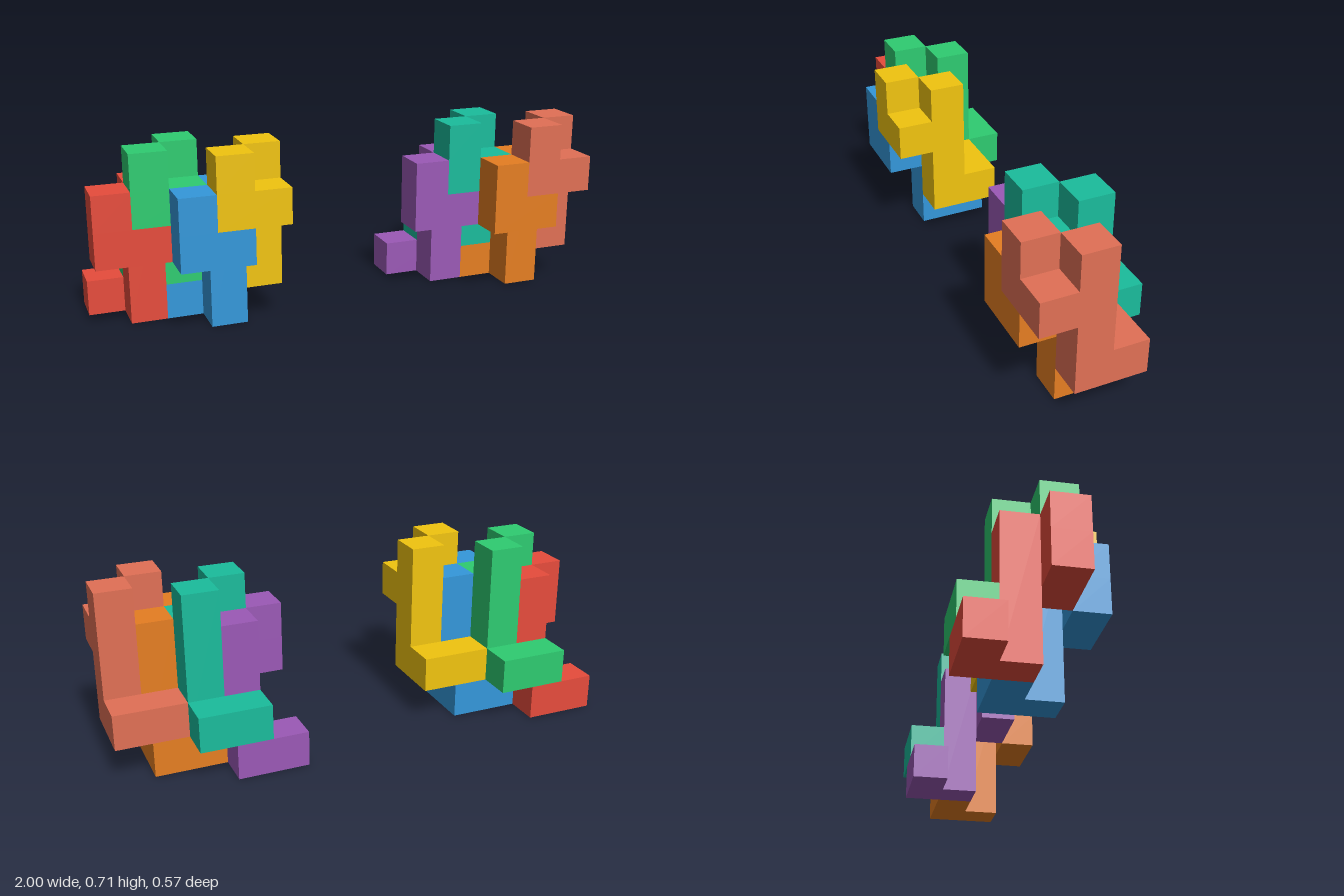
import * as THREE from 'three';
import { mergeGeometries } from 'three/addons/utils/BufferGeometryUtils.js';

const U = 1 / 7; // edge of one cube cell

// Box covering whole cells: first cell (x, y, z) and size (w, h, d) in cells
function cells(x, y, z, w, h, d) {
  return new THREE.BoxGeometry(w * U, h * U, d * U)
    .translate((x + w / 2) * U, (y + h / 2) * U, (z + d / 2) * U);
}

// The nine-cell block that every piece repeats
function blockGeometry() {
  return mergeGeometries([
    cells(0, 0, 0, 2, 1, 1), // foot at the back
    cells(1, 0, 1, 1, 4, 1), // upright column
    cells(0, 2, 2, 2, 1, 1), // arm at the front
    cells(0, 3, 2, 1, 1, 1), // raised tip of the arm
  ]);
}

export function createModel() {
  const model = new THREE.Group();
  model.name = 'interlockingBlocks';
  const geometry = blockGeometry();

  // Cell offsets of the four interlocked blocks in a cluster
  const offsets = [[0, 0, 0], [1, 1, 0], [2, 0, 1], [3, 1, 1]];

  // Two equal clusters side by side, each with its own colours
  const clusters = [
    { name: 'rightCluster', x: -7, blocks: [['redBlock', 0xe74c3c], ['greenBlock', 0x2ecc71], ['blueBlock', 0x3498db], ['yellowBlock', 0xf1c40f]] },
    { name: 'leftCluster', x: 2, blocks: [['purpleBlock', 0x9b59b6], ['tealBlock', 0x1abc9c], ['orangeBlock', 0xe67e22], ['terracottaBlock', 0xe17055]] },
  ];

  for (const { name, x, blocks } of clusters) {
    const cluster = new THREE.Group();
    cluster.name = name;
    cluster.position.set(x * U, 0, -2 * U);
    blocks.forEach(([blockName, color], i) => {
      const block = new THREE.Mesh(geometry, new THREE.MeshStandardMaterial({ color }));
      block.name = blockName;
      block.position.fromArray(offsets[i]).multiplyScalar(U);
      cluster.add(block);
    });
    model.add(cluster);
  }
  return model;
}
